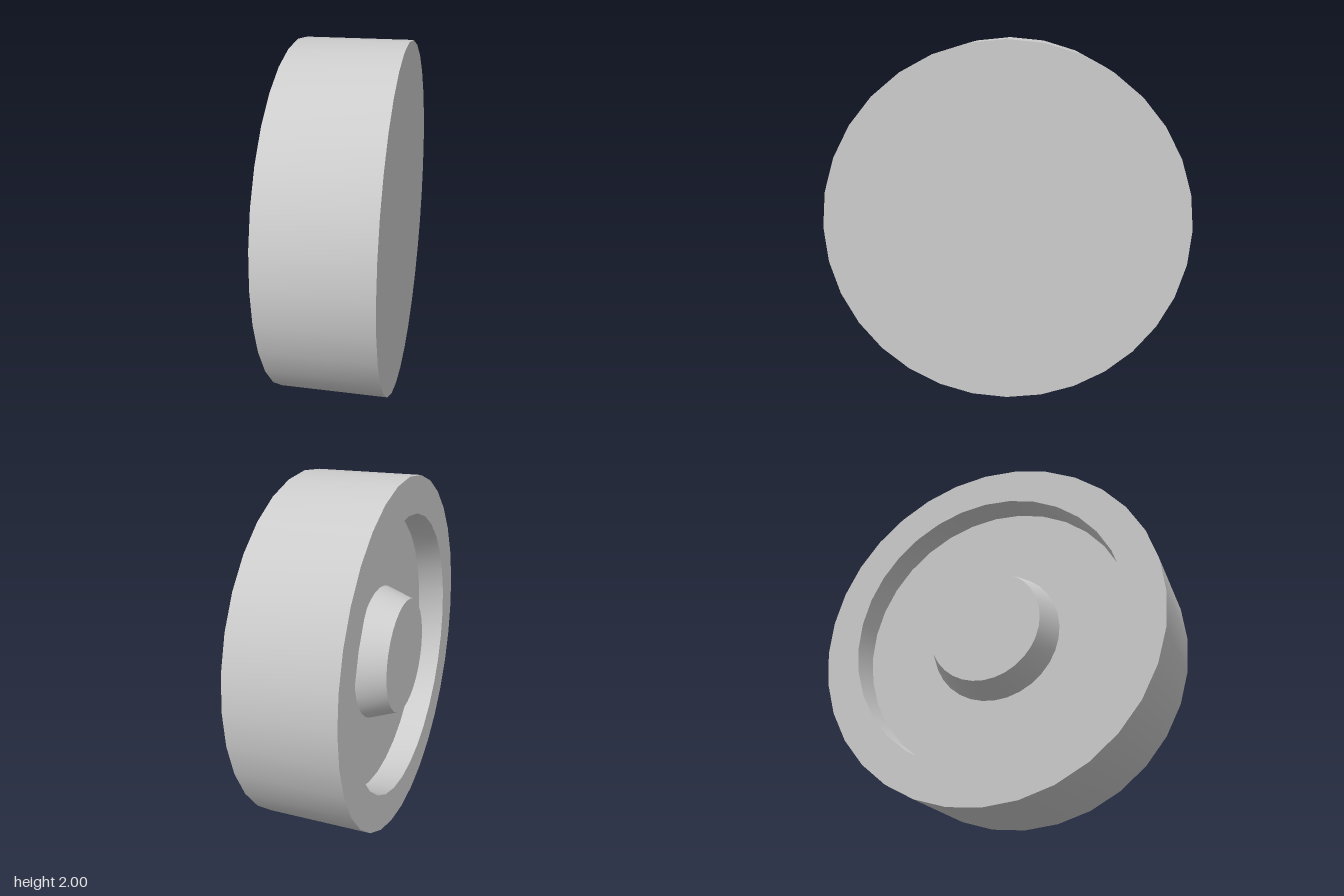
import * as THREE from 'three';
import { toCreasedNormals } from 'three/addons/utils/BufferGeometryUtils.js';

const SIDES = 32;
const HALF_WIDTH = 0.3;
const RECESS_FLOOR = 0.14;
const RIM_INNER = 0.795;
const HUB_BASE = 0.382;
const HUB_TOP = 0.325;

// Turned part from [radius, height] pairs, smooth around and sharp at the corners
function turned(name, profile, material) {
  const points = profile.map(([r, h]) => new THREE.Vector2(r, h));
  const geometry = toCreasedNormals(new THREE.LatheGeometry(points, SIDES), Math.PI / 6);
  const mesh = new THREE.Mesh(geometry, material);
  mesh.name = name;
  return mesh;
}

export function createModel() {
  const material = new THREE.MeshStandardMaterial({ color: 0xcccccc });
  const wheel = new THREE.Group();
  wheel.name = 'wheel';

  // Solid back face, tread, rim lip and recessed floor
  wheel.add(turned('wheelBody', [
    [0, -HALF_WIDTH],
    [1, -HALF_WIDTH],
    [1, HALF_WIDTH],
    [RIM_INNER, HALF_WIDTH],
    [RIM_INNER, RECESS_FLOOR],
    [HUB_BASE, RECESS_FLOOR],
  ], material));

  // Tapered hub, flush with the rim
  wheel.add(turned('hub', [
    [HUB_BASE, RECESS_FLOOR],
    [HUB_TOP, HALF_WIDTH],
    [0, HALF_WIDTH],
  ], material));

  // Stand the wheel on its tread with the recess towards -x
  wheel.rotation.z = Math.PI / 2;
  wheel.position.y = 1;

  const model = new THREE.Group();
  model.name = 'wheelModel';
  model.add(wheel);
  return model;
}
